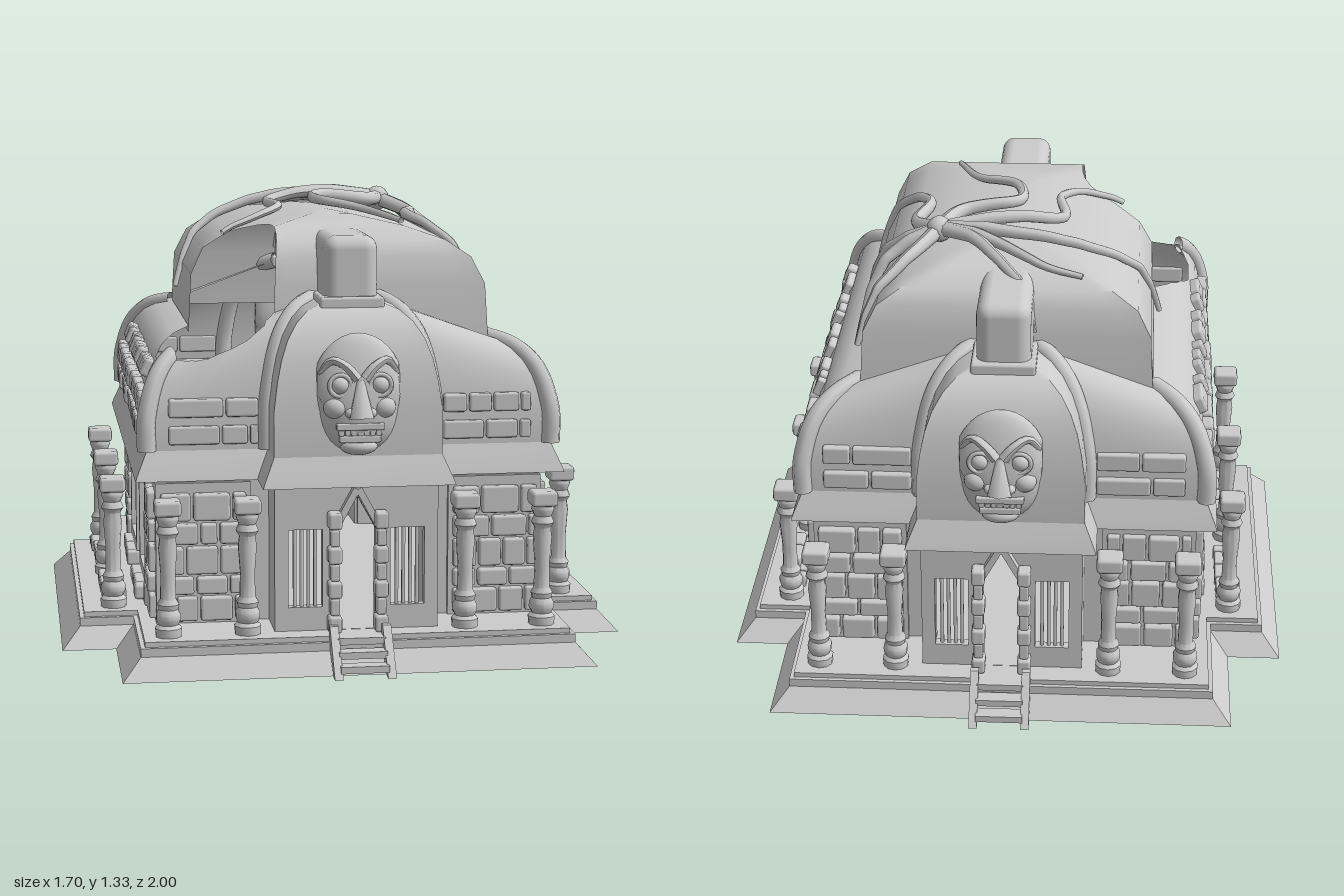
import * as THREE from 'three';
import { toCreasedNormals } from 'three/addons/utils/BufferGeometryUtils.js';
import { RoundedBoxGeometry } from 'three/addons/geometries/RoundedBoxGeometry.js';

const mat = new THREE.MeshStandardMaterial({ color: 0xcccccc });
const thin = new THREE.MeshStandardMaterial({ color: 0xcccccc, side: THREE.DoubleSide });
let seed = 7;
const rnd = () => (seed = (seed * 16807) % 2147483647) / 2147483647;

function add(parent, name, geo, x = 0, y = 0, z = 0, m = mat) {
  const mesh = new THREE.Mesh(geo, m);
  mesh.name = name;
  mesh.position.set(x, y, z);
  parent.add(mesh);
  return mesh;
}
const box = (w, h, d) => new THREE.BoxGeometry(w, h, d);
const stone = (w, h, d) => new RoundedBoxGeometry(w, h, d, 1, Math.min(w, h, d) * 0.22);

// Cross-shaped plan: X,Z main half sizes, px,pz half sizes of the projecting arms
const cross = (X, Z, px, pz) => [[X, -Z], [X, Z], [px, Z], [px, pz], [-px, pz], [-px, Z],
  [-X, Z], [-X, -Z], [-px, -Z], [-px, -pz], [px, -pz], [px, -Z]];
const body = o => cross(0.6 - o, 0.69 - o, 0.245 - o, 0.845 - o);
const plinth = o => cross(0.85 - o, 0.572 - o, 0.69 - o, 0.95 - o);
const at = (pts, y) => pts.map(([x, z]) => [x, y, z]);

// Skin between rings of corner points, each edge cut into n pieces
function loft(rings, n = 1) {
  const fine = rings.map(r => r.flatMap((p, i) => Array.from({ length: n }, (_, k) =>
    p.map((v, c) => v + (r[(i + 1) % r.length][c] - v) * k / n))));
  const pos = [];
  for (let j = 0; j + 1 < fine.length; j++) for (let i = 0; i < fine[j].length; i++) {
    const k = (i + 1) % fine[j].length, [a, b, c, d] = [fine[j][i], fine[j][k], fine[j + 1][i], fine[j + 1][k]];
    pos.push(...a, ...c, ...b, ...b, ...c, ...d);
  }
  return new THREE.BufferGeometry().setAttribute('position', new THREE.Float32BufferAttribute(pos, 3));
}
const smooth = (g, a = 0.6) => toCreasedNormals(g, a);
function plate(pts, y) {
  const g = new THREE.ShapeGeometry(new THREE.Shape(pts.map(([x, z]) => new THREE.Vector2(x, -z))));
  return g.rotateX(-Math.PI / 2).translate(0, y, 0);
}

// Broken corner of the roof: positive outside the ragged hole
const ragged = [0.17, 0.2, 0.25, 0.245, 0.27, 0.21, 0.18, 0.18, 0.2, 0.26, 0.22, 0.19];
function outsideHole(x, z) {
  const dx = x + 0.37, dz = z - 0.4, a = ((Math.atan2(dz, dx) / Math.PI * 6) + 12) % 12, i = Math.floor(a) % 12;
  return Math.hypot(dx, dz) - THREE.MathUtils.lerp(ragged[i], ragged[(i + 1) % 12], a - Math.floor(a));
}
function breakOpen(geo) {
  const p = (geo.index ? geo.toNonIndexed() : geo).attributes.position, out = [];
  for (let i = 0; i < p.count; i += 3) {
    const t = [0, 1, 2].map(k => new THREE.Vector3().fromBufferAttribute(p, i + k));
    const f = t.map(v => outsideHole(v.x, v.z)), keep = [];
    t.forEach((v, k) => {
      const m = (k + 1) % 3;
      if (f[k] >= 0) keep.push(v);
      if (f[k] >= 0 !== f[m] >= 0) keep.push(v.clone().lerp(t[m], f[k] / (f[k] - f[m])));
    });
    for (let k = 1; k + 1 < keep.length; k++) for (const v of [keep[0], keep[k], keep[k + 1]]) out.push(v.x, v.y, v.z);
  }
  return new THREE.BufferGeometry().setAttribute('position', new THREE.Float32BufferAttribute(out, 3));
}

// Tapering tube
function taper(points, r0, r1, seg = 24, sides = 8) {
  const curve = new THREE.CatmullRomCurve3(points), g = new THREE.TubeGeometry(curve, seg, r0, sides);
  const p = g.attributes.position, v = new THREE.Vector3();
  for (let i = 0; i < p.count; i++) {
    const t = Math.floor(i / (sides + 1)) / seg, c = curve.getPointAt(t);
    v.fromBufferAttribute(p, i).sub(c).multiplyScalar(1 + (r1 / r0 - 1) * t).add(c);
    p.setXYZ(i, v.x, v.y, v.z);
  }
  g.computeVertexNormals();
  return g;
}

// Irregular row of stones centred on x
function row(parent, name, x, y, z, w, h, d, size, gap = 0.008, tilt = 0) {
  for (let u = -w / 2; u < w / 2 - 0.02;) {
    let s = Math.min(size * (0.55 + rnd() * 0.9), w / 2 - u);
    if (w / 2 - u - s < 0.03) s = w / 2 - u;
    add(parent, name, stone(s - gap, h - 0.008, d * (0.8 + rnd() * 0.4)), x + u + s / 2, y, z).rotation.x = -tilt;
    u += s;
  }
}
function stonePanel(parent, x, z, w) {
  add(parent, 'panelBacking', box(w + 0.02, 0.42, 0.03), x, 0.31, z - 0.015);
  [0.08, 0.06, 0.09, 0.07, 0.09].reduce((y, h) => (row(parent, 'panelStone', x, y + h / 2, z + 0.005, w, h, 0.035, 0.085), y + h), 0.105);
}
function wall(parent, name, w, z, holes) {
  const s = new THREE.Shape([[-w, 0.1], [w, 0.1], [w, 0.54], [-w, 0.54]].map(p => new THREE.Vector2(...p)));
  s.holes = holes.map(h => new THREE.Path(h.map(p => new THREE.Vector2(...p))));
  add(parent, name, new THREE.ExtrudeGeometry(s, { depth: 0.03, bevelEnabled: false }), 0, 0, z - 0.03);
}
const rect = (x0, x1, y0, y1) => [[x0, y0], [x1, y0], [x1, y1], [x0, y1]];
function bars(parent, x0, x1, y0, y1, z, n) {
  for (let i = 1; i <= n; i++)
    add(parent, 'windowBar', new THREE.CylinderGeometry(0.006, 0.006, y1 - y0, 6), x0 + (x1 - x0) * i / (n + 1), (y0 + y1) / 2, z);
}

const pillarProfile = [[0.038, 0.1], [0.04, 0.125], [0.03, 0.135], [0.037, 0.15], [0.037, 0.165], [0.029, 0.18], [0.033, 0.195], [0.024, 0.21],
  [0.022, 0.28], [0.028, 0.36], [0.024, 0.39], [0.034, 0.405], [0.026, 0.425], [0.034, 0.445], [0.03, 0.46]].map(p => new THREE.Vector2(...p));
function pillar(parent, x, z) {
  add(parent, 'pillar', smooth(new THREE.LatheGeometry(pillarProfile, 10), 0.7), x, 0, z, thin);
  add(parent, 'pillarCapital', stone(0.078, 0.045, 0.078), x, 0.478, z);
}

function mask() {
  const g = new THREE.Group();
  g.name = 'stoneMask';
  const ball = (n, x, y, z, sx, sy, sz) => add(g, n, new THREE.SphereGeometry(1, 16, 12), x, y, z).scale.set(sx, sy, sz);
  const head = new THREE.SphereGeometry(1, 24, 18), p = head.attributes.position;
  for (let i = 0; i < p.count; i++) {
    const y = p.getY(i), k = y < 0 ? 1 + 0.25 * y * y : 1.12;
    p.setXYZ(i, THREE.MathUtils.clamp(p.getX(i) * 0.122 * k, -0.12, 0.12), y * 0.175, p.getZ(i) * (0.062 - 0.015 * y));
  }
  head.computeVertexNormals();
  add(g, 'maskHead', head, 0, 0.8, 0.825);
  add(g, 'nose', new THREE.CylinderGeometry(0.012, 0.04, 0.11, 6), 0, 0.79, 0.882).rotation.x = -0.15;
  add(g, 'upperLip', stone(0.14, 0.02, 0.045), 0, 0.712, 0.868);
  add(g, 'lowerLip', stone(0.12, 0.02, 0.045), 0, 0.675, 0.862);
  ball('chin', 0, 0.65, 0.85, 0.055, 0.025, 0.035);
  for (let i = -3; i <= 3; i++) add(g, 'tooth', stone(0.016, 0.02, 0.03), i * 0.018, 0.694, 0.866);
  for (const s of [-1, 1]) {
    ball('eye', s * 0.058, 0.83, 0.872, 0.026, 0.024, 0.02);
    ball('cheek', s * 0.07, 0.765, 0.862, 0.035, 0.032, 0.03);
    ball('nostril', s * 0.03, 0.752, 0.888, 0.016, 0.014, 0.018);
    add(g, 'eyeRim', new THREE.TorusGeometry(0.031, 0.007, 6, 18), s * 0.058, 0.83, 0.876);
    add(g, 'brow', taper([[0.01, 0.85, 0.89], [0.04, 0.885, 0.885], [0.08, 0.9, 0.86], [0.112, 0.86, 0.84]]
      .map(([x, y, z]) => new THREE.Vector3(s * x, y, z)), 0.016, 0.01, 10, 6), 0, 0, 0, thin);
  }
  return g;
}

// Entrance end, facing +z
function entrance() {
  const g = new THREE.Group();
  g.name = 'entranceEnd';
  wall(g, 'porchWall', 0.24, 0.81, [[[-0.055, 0.101], [0.055, 0.101], [0.055, 0.4], [0, 0.5], [-0.055, 0.4]], rect(0.1, 0.2, 0.17, 0.4), rect(-0.2, -0.1, 0.17, 0.4)]);
  for (const s of [-1, 1]) {
    add(g, 'porchSide', box(0.03, 0.44, 0.17), s * 0.225, 0.32, 0.725);
    add(g, 'endWall', box(0.35, 0.44, 0.03), s * 0.395, 0.32, 0.645);
    stonePanel(g, s * 0.435, 0.675, 0.26);
    bars(g, s * 0.15 - 0.05, s * 0.15 + 0.05, 0.17, 0.4, 0.795, 4);
    for (let i = 0; i < 7; i++) add(g, 'doorStone', stone(i % 2 ? 0.028 : 0.04, 0.05, i % 2 ? 0.04 : 0.055), s * 0.068, 0.125 + i * 0.051, 0.835);
    add(g, 'doorArch', box(0.02, 0.14, 0.03), s * 0.036, 0.46, 0.82).rotation.z = s * 0.5;
    pillar(g, s * 0.32, 0.815);
    pillar(g, s * 0.55, 0.815);
    for (const y of [0.665, 0.745]) row(g, 'upperBrick', s * 0.405, y, 0.69, 0.27, 0.062, 0.035, 0.12);
    const rail = new THREE.Shape([[1, 0], [0.97, 0], [0.87, 0.08], [0.87, 0.13], [0.89, 0.13]].map(([z, y]) => new THREE.Vector2(-z, y)));
    add(g, 'stairRail', new THREE.ExtrudeGeometry(rail, { depth: 0.025, bevelEnabled: false }).rotateY(Math.PI / 2), s * 0.077 - 0.0125, 0, 0);
  }
  for (let i = 0; i < 3; i++) add(g, 'stairTread', box(0.14, 0.02, 0.045), 0, 0.025 + i * 0.033, 0.965 - i * 0.035);
  g.add(mask());
  add(g, 'roofSpur', new RoundedBoxGeometry(0.16, 0.3, 0.3, 3, 0.04), 0, 1.09, 0.55);
  add(g, 'spurFoot', stone(0.19, 0.04, 0.2), 0, 1.045, 0.62);
  return g;
}

// Long side, facing +z before it is turned
function longSide() {
  const g = new THREE.Group();
  g.name = 'longSide';
  wall(g, 'sideWall', 0.66, 0.56, [rect(0.1, 0.37, 0.18, 0.46), rect(-0.37, -0.1, 0.18, 0.46)]);
  for (const s of [-1, 1]) {
    const c = s * 0.235;
    for (const y of [0.165, 0.475]) add(g, 'windowFrame', box(0.3, 0.03, 0.06), c, y, 0.56);
    for (const e of [-1, 1]) add(g, 'windowFrame', box(0.025, 0.32, 0.06), c + e * 0.14, 0.32, 0.56);
    bars(g, c - 0.135, c + 0.135, 0.17, 0.47, 0.55, 6);
    stonePanel(g, s * 0.55, 0.575, 0.2);
    row(g, 'footStone', c, 0.125, 0.6, 0.3, 0.055, 0.04, 0.1);
    row(g, 'curbStone', s * 0.255, 0.12, 0.665, 0.28, 0.05, 0.03, 0.06);
    row(g, 'curbStone', s * 0.255, 0.12, 0.705, 0.3, 0.05, 0.04, 0.08);
  }
  for (const x of [-0.437, 0, 0.437]) pillar(g, x, 0.69);
  row(g, 'upperBrick', 0, 0.662, 0.6, 1.28, 0.062, 0.04, 0.09, 0.014);
  row(g, 'upperBrick', 0, 0.745, 0.597, 1.24, 0.068, 0.045, 0.11, 0.014, 0.1);
  for (const x of [-0.39, -0.15, 0.08, 0.33]) row(g, 'upperBrick', x, 0.822, 0.572, 0.19, 0.064, 0.05, 0.1, 0.016, 0.4);
  return g;
}

// Roof dome as nested rectangles: height, half width, half depth
const dome = [[0.9, 0.435, 0.56], [1.08, 0.425, 0.55], [1.16, 0.385, 0.535], [1.21, 0.31, 0.51], [1.245, 0.2, 0.42], [1.27, 0.06, 0.25], [1.275, 0, 0.1]];
const drape = [[0.94, 0.465, 0.6], ...dome.slice(1)];
function sideHeight(v, c) {
  for (let i = 0; i + 1 < drape.length; i++) {
    const [a, b] = [drape[i], drape[i + 1]];
    if (v >= b[c]) return b[0] + (a[0] - b[0]) * Math.min(1, (v - b[c]) / (a[c] - b[c]));
  }
  return 1.275;
}
const roofHeight = (x, z) => Math.min(sideHeight(Math.abs(x), 1), sideHeight(Math.abs(z), 2));

export function createModel() {
  const model = new THREE.Group();
  model.name = 'ruinedTemple';

  // Stepped base
  add(model, 'base', smooth(loft([[0, 0], [0.055, 0.06], [0.055, 0.085], [0.068, 0.085], [0.068, 0.1]].map(([o, y]) => at(plinth(o), y))), 0.3), 0, 0, 0, thin);
  add(model, 'baseFloor', plate(plinth(0.068), 0.1), 0, 0, 0, thin);

  // Walls
  for (const turn of [0, Math.PI]) {
    const end = entrance(), side = longSide();
    end.rotation.y = turn;
    side.rotation.y = turn + Math.PI / 2;
    model.add(end, side);
  }

  // Flared ledge and upper floor
  add(model, 'ledge', smooth(loft([at(body(-0.035), 0.535), at(body(-0.03), 0.55), at(body(0), 0.62)]), 0.3), 0, 0, 0, thin);
  add(model, 'ceiling', plate(body(-0.035), 0.535), 0, 0, 0, thin);
  add(model, 'upperFloor', plate(body(0), 0.62), 0, 0, 0, thin);

  // Curved upper walls, higher around the porches
  const profile = [[0, 0], [0, 0.3], [0.012, 0.5], [0.025, 0.64], [0.045, 0.77], [0.075, 0.88], [0.11, 0.95], [0.165, 1]];
  const top = (i, t) => 0.62 + ([0, 1, 6, 7].includes(i) ? 0.3 : 0.43) * t;
  const shell = loft(profile.map(([o, t]) => body(o).map(([x, z], i) => [x, top(i, t), z])), 10);
  add(model, 'upperWalls', smooth(breakOpen(shell)), 0, 0, 0, thin);

  // Ribs over the outer corners and the porch valleys
  for (const i of [0, 1, 2, 5, 6, 7, 8, 11]) {
    const pts = profile.map(([o, t]) => new THREE.Vector3(body(o)[i][0], top(i, t), body(o)[i][1]));
    add(model, 'roofRib', smooth(breakOpen(taper(pts, 0.028, 0.026)), 0.9), 0, 0, 0, thin);
  }

  // Broken roof dome
  const roof = loft(dome.map(([y, x, z]) => [[x, y, -z], [x, y, z], [-x, y, z], [-x, y, -z]]), 14);
  add(model, 'roofDome', smooth(breakOpen(roof), 0.75), 0, 0, 0, thin);

  // Roots spreading over the roof, as x,z paths from the hub
  const hub = [0.22, -0.23];
  const roots = [[[0.1, -0.33], [0.03, -0.42], [-0.08, -0.55]], [[0.03, -0.35], [-0.1, -0.44], [-0.22, -0.47]],
    [[0.03, -0.28], [-0.2, -0.3], [-0.36, -0.26], [-0.45, -0.18]], [[0, -0.19], [-0.15, -0.13], [-0.14, 0.05], [-0.2, 0.14], [-0.33, 0.19]],
    [[0.16, -0.1], [-0.01, -0.05], [0, 0.1], [0.12, 0.2], [0.2, 0.38]], [[0.3, -0.1], [0.27, 0.05], [0.34, 0.18], [0.455, 0.25]],
    [[0.33, -0.2], [0.43, -0.13], [0.46, 0]], [[0.3, -0.36], [0.36, -0.42], [0.45, -0.48]], [[0.36, -0.26], [0.44, -0.31], [0.46, -0.4]]];
  for (const path of roots) {
    const flat = new THREE.CatmullRomCurve3([hub, ...path].map(([x, z]) => new THREE.Vector3(x, 0, z))).getPoints(22);
    flat.forEach((p, i) => { p.y = roofHeight(p.x, p.z) + 0.012 + 0.03 * (1 - i / 22); });
    add(model, 'root', taper(flat, 0.024, 0.009, 44), 0, 0, 0, thin);
  }
  add(model, 'rootHub', new THREE.SphereGeometry(0.04, 12, 8), hub[0], 1.28, hub[1]);
  return model;
}
